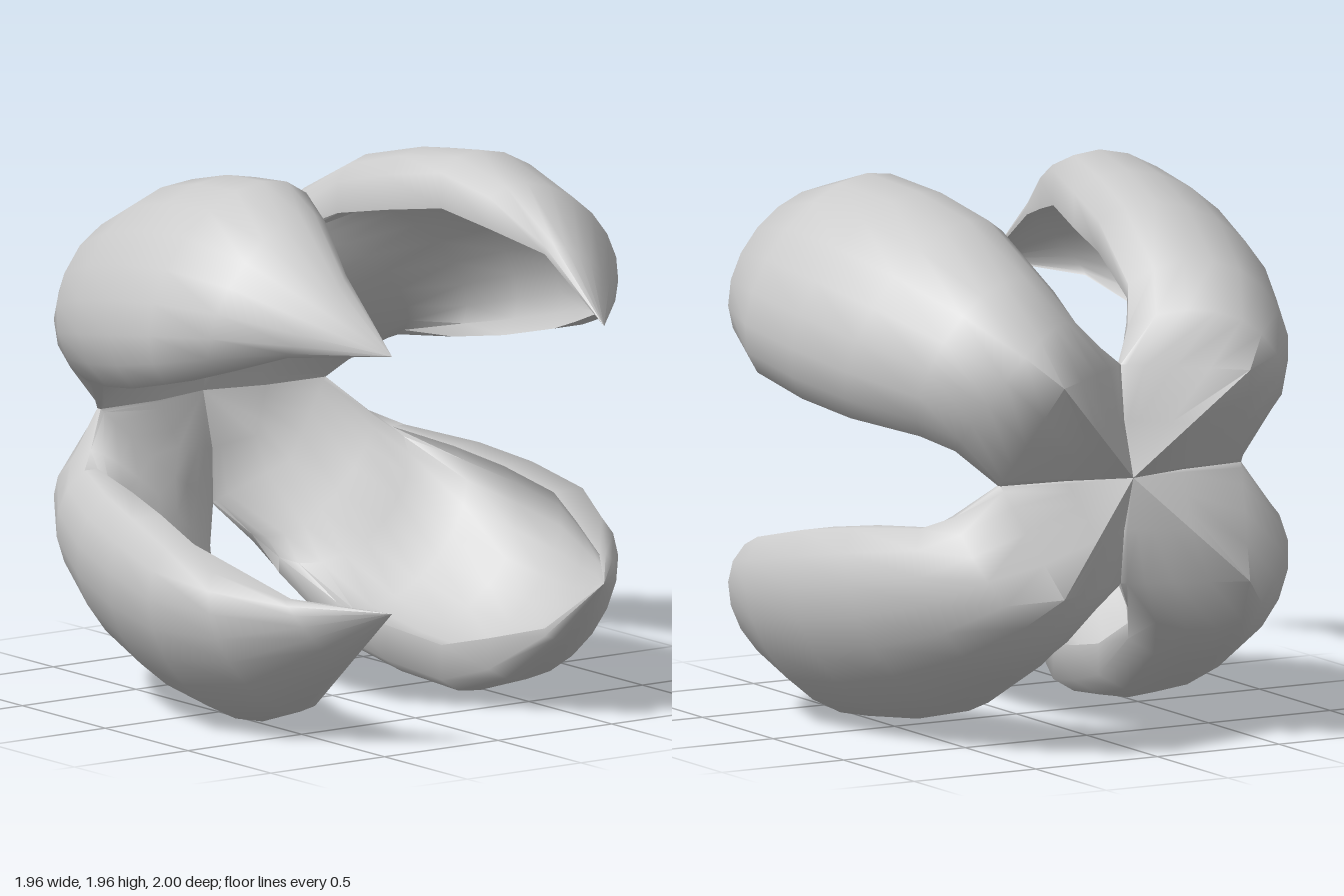
import * as THREE from 'three';
import { toCreasedNormals } from 'three/addons/utils/BufferGeometryUtils.js';

// Petal stations from hub to tip, as [radius, z] pairs: outer ridge, inner trough,
// side edge, half width. Hub stations have edge thickness th and straight flanks;
// web widens the edge that faces the left or right gap; inset sets the rim width.
const STATIONS = [
  { outer: [0, -0.83], inner: [0, -0.78], edge: [0, -0.805], w: 0, th: 0.05, hub: true },
  { outer: [0.27, -0.915], inner: [0.24, -0.69], edge: [0.14, -0.745], w: 0.14, th: 0.04, web: 1.2, hub: true },
  { outer: [0.54, -1.0], inner: [0.36, -0.6], edge: [0.28, -0.73], w: 0.28, th: 0.02, web: 1.25, hub: true },
  { outer: [0.69, -0.9], inner: [0.5, -0.45], edge: [0.43, -0.62], w: 0.29, web: 1.2 },
  { outer: [0.87, -0.68], inner: [0.64, -0.31], edge: [0.56, -0.53], w: 0.345, web: 1.1, inset: 0.04 },
  { outer: [1.02, -0.38], inner: [0.81, -0.15], edge: [0.72, -0.24], w: 0.44, inset: 0.08 },
  { outer: [1.11, -0.08], inner: [0.91, 0.06], edge: [0.79, 0], w: 0.455, inset: 0.09 },
  { outer: [1.15, 0.22], inner: [0.96, 0.25], edge: [0.86, 0.25], w: 0.44, inset: 0.09 },
  { outer: [1.08, 0.52], inner: [0.94, 0.46], edge: [0.86, 0.45], w: 0.35, inset: 0.08 },
  { outer: [0.87, 0.78], inner: [0.82, 0.72], edge: [0.81, 0.68], w: 0.19, inset: 0.02 },
  { outer: [0.66, 1.0], inner: [0.66, 1.0], edge: [0.66, 1.0], w: 0 },
];
const ACROSS = 10;

// Closed cross-section: outer arc from one edge to the other, inner arc back,
// with a rim face between them
function section({ outer, inner, edge, w, th = 0, web = 1, inset = 0, hub = false }, webSide) {
  const ring = [];
  for (const [mid, dir] of [[outer, 1], [inner, -1]]) {
    const edgeZ = edge[1] - dir * th / 2;
    const cut = dir < 0 ? inset : 0;
    for (let i = 0; i <= ACROSS; i++) {
      const t = dir * (i / ACROSS - 0.5) * Math.PI;
      const s = Math.sin(t);
      const c = hub ? 1 - Math.abs(s) : Math.cos(t);
      const k = s * webSide > 0 ? web : 1;
      const edgeR = edge[0] * k - cut;
      ring.push(new THREE.Vector3(
        edgeR + (mid[0] - edgeR) * c,
        (w * k - cut) * s,
        edgeZ + (mid[1] - edgeZ) * c
      ));
    }
  }
  return ring;
}

function petalGeometry(webSide) {
  const rings = STATIONS.map((station) => section(station, webSide));
  const pos = [];
  const tri = (a, b, c) => {
    const area = b.clone().sub(a).cross(c.clone().sub(a)).length();
    if (area > 1e-6) for (const p of [a, b, c]) pos.push(p.x, p.y, p.z);
  };
  for (let s = 0; s < rings.length - 1; s++) {
    const n = rings[s].length;
    for (let i = 0; i < n; i++) {
      const j = (i + 1) % n;
      tri(rings[s][i], rings[s][j], rings[s + 1][j]);
      tri(rings[s][i], rings[s + 1][j], rings[s + 1][i]);
    }
  }
  const geo = new THREE.BufferGeometry();
  geo.setAttribute('position', new THREE.Float32BufferAttribute(pos, 3));
  return toCreasedNormals(geo, 1.1);
}

export function createModel() {
  const group = new THREE.Group();
  group.name = 'flower';
  const material = new THREE.MeshStandardMaterial({ color: 0xcccccc, side: THREE.DoubleSide });
  const geometries = [petalGeometry(-1), petalGeometry(1)];

  // Four petals on the diagonals, joined at the hub behind
  ['upperLeftPetal', 'upperRightPetal', 'lowerRightPetal', 'lowerLeftPetal'].forEach((name, k) => {
    const petal = new THREE.Mesh(geometries[k % 2], material);
    petal.name = name;
    petal.rotation.z = Math.PI / 4 + k * Math.PI / 2;
    petal.position.y = 0.987;
    group.add(petal);
  });
  return group;
}
